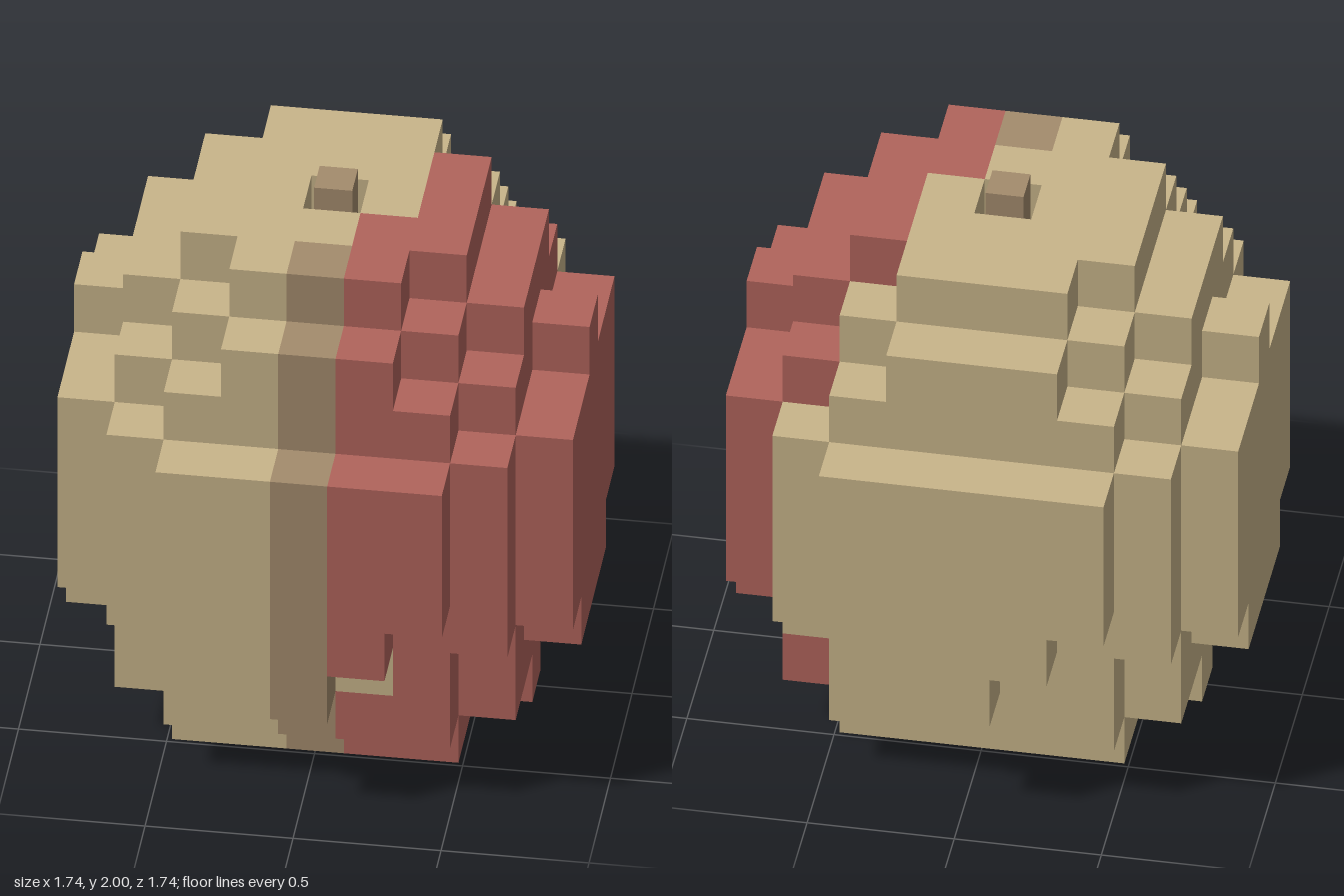
import * as THREE from 'three';
import { mergeGeometries } from 'three/addons/utils/BufferGeometryUtils.js';

const U = 0.1935; // cube size

// Each layer, bottom to top: half-width in cubes for |z| = 0, 1, 2, 3, 4
const BELLY = [4, 4, 4, 3, 2];
const LAYERS = [
  [3, 2, 2],
  [3, 3, 3, 2],
  [4, 4, 3, 2, 0],
  [4, 4, 4, 3, 1],
  BELLY, BELLY, BELLY,
  [4, 3, 3, 2],
  [3, 3, 2, 1],
  [2, 2, 1],
];

// Is there a cube here? The top centre is left open as the stem recess.
function solid(x, y, z) {
  if (y === 9 && x === 0 && z === 0) return false;
  const half = LAYERS[y]?.[Math.abs(z)];
  return half !== undefined && Math.abs(x) <= half;
}

// First z of the red side for x = 1, 2, 3, 4
const RED_FROM = [1, -1, -2, -2];
const RED_FROM_BASE = [2, 0, 0, 0];

function colourOf(x, y, z) {
  if (x === 0 && z >= 2) return 'brown';
  if (x < 1) return 'cream';
  // two bare cubes low on the red side
  if (y === 2 && ((x === 1 && z === 3) || (x === 3 && z === -2))) return 'cream';
  return z >= (y === 0 ? RED_FROM_BASE : RED_FROM)[x - 1] ? 'red' : 'cream';
}

// One square face template per direction, at the side of a cube
const FACES = [
  [1, 0, 0], [-1, 0, 0], [0, 1, 0], [0, -1, 0], [0, 0, 1], [0, 0, -1],
].map(([dx, dy, dz]) => {
  const geo = new THREE.PlaneGeometry(U, U).translate(0, 0, U / 2);
  if (dx) geo.rotateY(dx * Math.PI / 2);
  else if (dy) geo.rotateX(-dy * Math.PI / 2);
  else if (dz < 0) geo.rotateY(Math.PI);
  return { dx, dy, dz, geo };
});

export function createModel() {
  const model = new THREE.Group();
  const mats = {
    cream: new THREE.MeshStandardMaterial({ color: 0xc9b58a }),
    red: new THREE.MeshStandardMaterial({ color: 0xb1645c }),
    brown: new THREE.MeshStandardMaterial({ color: 0xa48c6d }),
  };
  for (const name in mats) mats[name].name = name;

  // Collect only the outer faces, sorted by colour
  const faces = { cream: [], red: [], brown: [] };
  for (let y = 0; y < LAYERS.length; y++)
    for (let z = -4; z <= 4; z++)
      for (let x = -4; x <= 4; x++) {
        if (!solid(x, y, z)) continue;
        for (const { dx, dy, dz, geo } of FACES) {
          if (solid(x + dx, y + dy, z + dz)) continue;
          faces[colourOf(x, y, z)].push(geo.clone().translate(x * U, (y + 0.5) * U, z * U));
        }
      }

  const names = { cream: 'creamShell', red: 'redSide', brown: 'frontStripe' };
  for (const key in faces) {
    const mesh = new THREE.Mesh(mergeGeometries(faces[key]), mats[key]);
    mesh.name = names[key];
    model.add(mesh);
  }

  // Stem standing in the recess
  const floor = 9 * U;
  const stem = new THREE.Mesh(new THREE.BoxGeometry(0.129, 2 - floor, 0.129), mats.brown);
  stem.position.y = (2 + floor) / 2;
  stem.name = 'stem';
  model.add(stem);

  return model;
}
